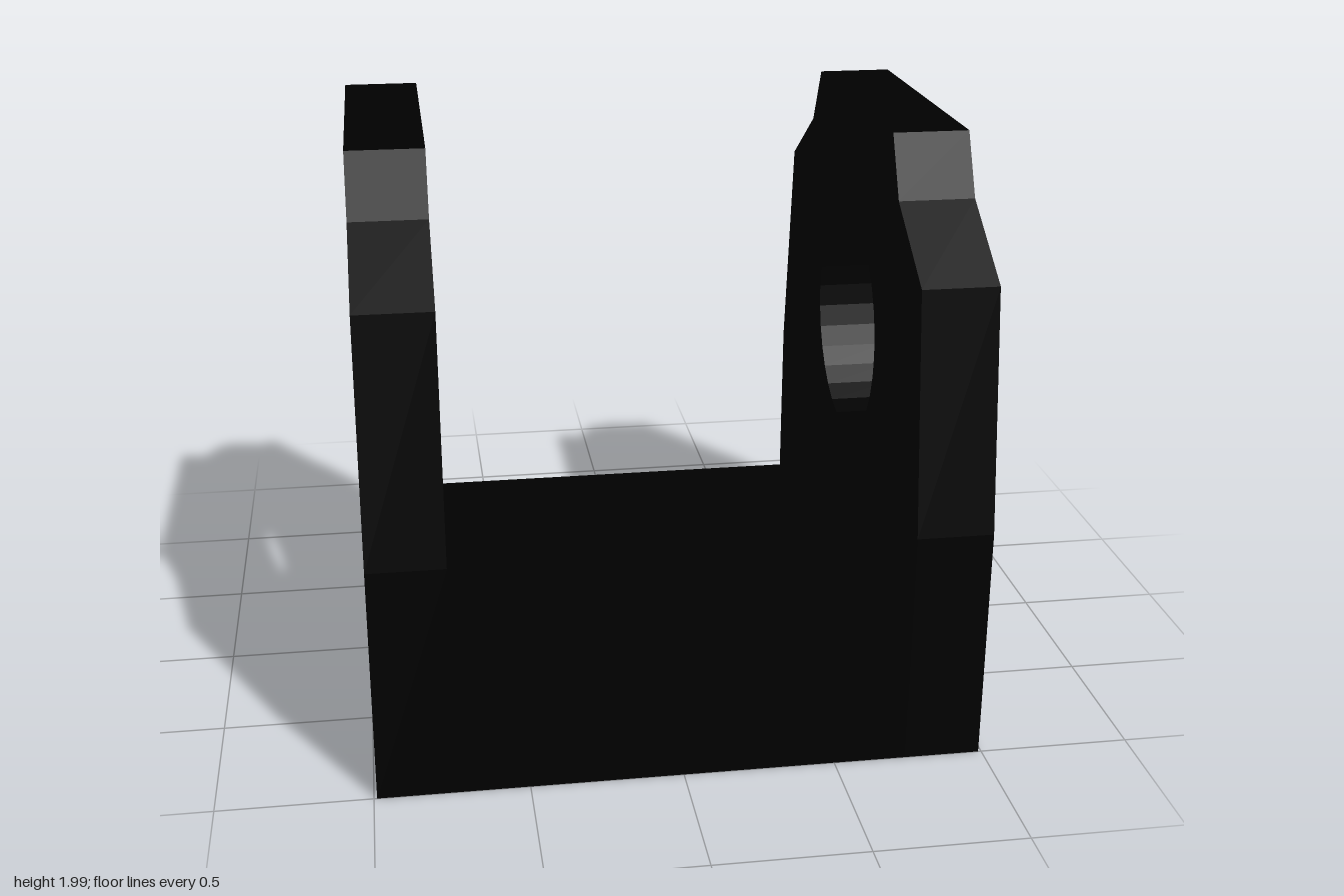
import * as THREE from 'three';

export function createModel() {
  const model = new THREE.Group();
  model.name = 'clevisBracket';
  const black = new THREE.MeshStandardMaterial({ color: 0x000000, flatShading: true });

  const halfWidth = 0.99, wall = 0.25, floorHeight = 0.2;

  // Side plate outline: half profile as [z, y], mirrored to the other side
  const half = [[1, 0], [1, 0.795], [0.897, 1.588], [0.598, 1.787], [0.497, 1.985]];
  const mirrored = half.map(([z, y]) => [-z, y]).reverse();
  const outline = new THREE.Shape([...half, ...mirrored].map(([z, y]) => new THREE.Vector2(z, y)));

  // Round pin hole
  const hole = new THREE.Path();
  hole.absarc(0, 1.192, 0.396, 0, Math.PI * 2, true);
  outline.holes.push(hole);

  const plate = new THREE.ExtrudeGeometry(outline, { depth: wall, bevelEnabled: false, curveSegments: 16 });
  plate.translate(0, 0, -wall / 2);
  plate.rotateY(-Math.PI / 2);

  for (const [name, side] of [['leftPlate', 1], ['rightPlate', -1]]) {
    const mesh = new THREE.Mesh(plate, black);
    mesh.name = name;
    mesh.position.x = side * (halfWidth - wall / 2);
    model.add(mesh);
  }

  // Floor joining the two plates
  const floor = new THREE.Mesh(new THREE.BoxGeometry(2 * (halfWidth - wall), floorHeight, 2), black);
  floor.name = 'floor';
  floor.position.y = floorHeight / 2;
  model.add(floor);

  return model;
}
